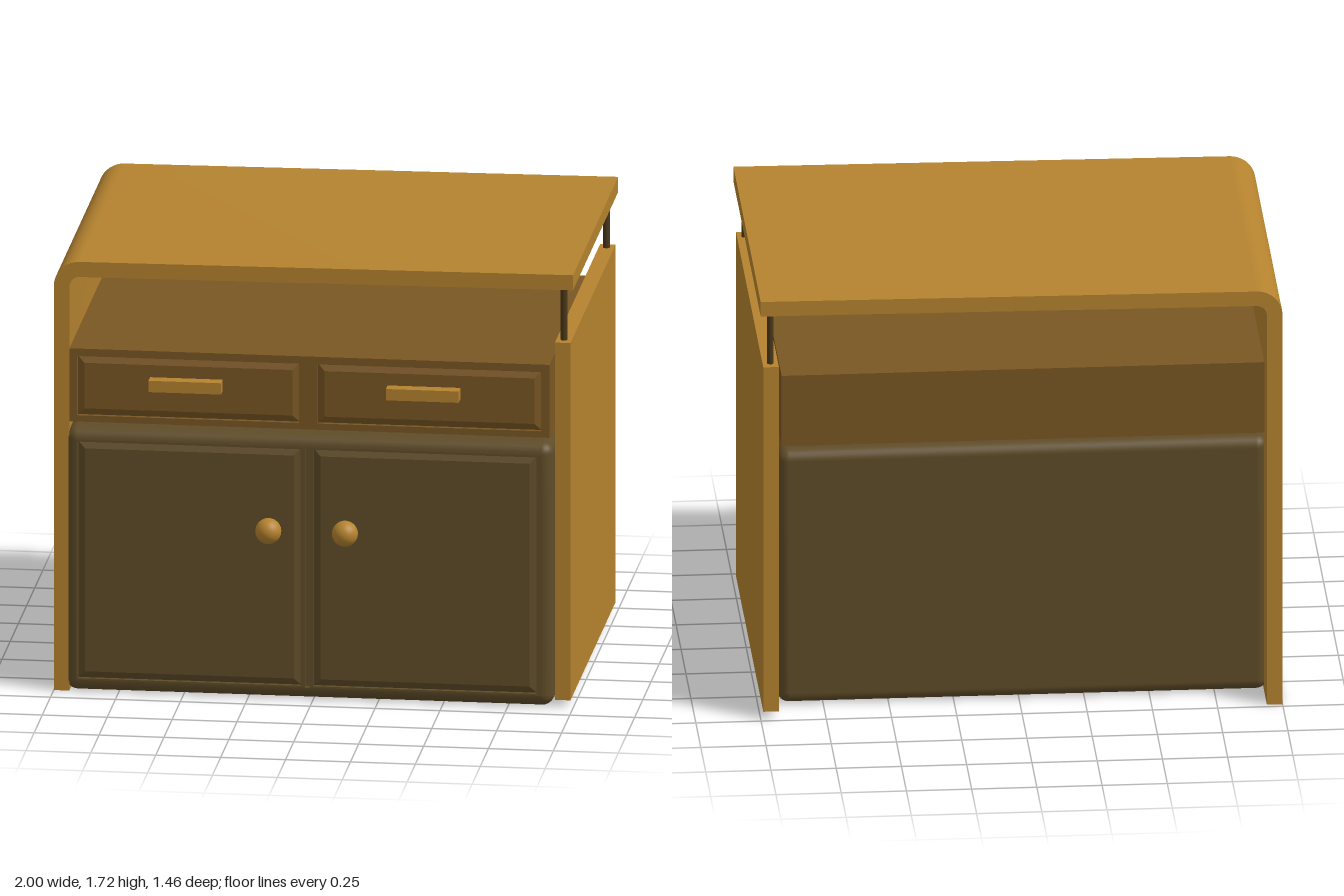
import * as THREE from 'three';
import { toCreasedNormals } from 'three/addons/utils/BufferGeometryUtils.js';

const mat = (color) => new THREE.MeshStandardMaterial({ color });
const wood = mat(0xb5832f), drawerWood = mat(0x7a5723), cabinetWood = mat(0x5f4c28), dark = mat(0x4a381a);

function add(parent, name, geometry, material, x = 0, y = 0, z = 0) {
  const mesh = new THREE.Mesh(geometry, material);
  mesh.name = name;
  mesh.position.set(x, y, z);
  parent.add(mesh);
  return mesh;
}

// Box given by its extents
function box(parent, name, material, x0, x1, y0, y1, z0, z1) {
  return add(parent, name, new THREE.BoxGeometry(x1 - x0, y1 - y0, z1 - z0), material,
    (x0 + x1) / 2, (y0 + y1) / 2, (z0 + z1) / 2);
}

function rect(x0, x1, y0, y1, Type = THREE.Shape) {
  return new Type([[x0, y0], [x1, y0], [x1, y1], [x0, y1]].map(p => new THREE.Vector2(...p)));
}

// Front frame with rectangular openings, front face at z
function frame(parent, name, material, outer, openings, z, depth) {
  const shape = rect(...outer);
  openings.forEach(o => shape.holes.push(rect(...o, THREE.Path)));
  add(parent, name, new THREE.ExtrudeGeometry(shape, { depth, bevelEnabled: false }), material, 0, 0, z - depth);
}

// Panel with chamfered border that fills an opening, front face at z
function raisedPanel(parent, name, material, [x0, x1, y0, y1], z) {
  const b = 0.027, t = 0.014;
  const geometry = new THREE.ExtrudeGeometry(rect(x0 + b, x1 - b, y0 + b, y1 - b),
    { depth: 0.005, bevelSize: b, bevelThickness: t, bevelSegments: 1 });
  add(parent, name, geometry, material, 0, 0, z - t - 0.005);
}

// Rounded body lofted from rounded rectangles; the front is left open for the frame
function roundedBody(x0, x1, y0, y1, z0, z1, r) {
  const steps = 6, rings = [], pos = [], index = [];
  for (let i = 0; i <= steps; i++) {
    const a = i / steps * Math.PI / 2;
    rings.push([z0 + r * (1 - Math.cos(a)), r * Math.sin(a)]);
  }
  for (let i = steps; i >= 0; i--) {
    const a = i / steps * Math.PI / 2;
    rings.push([z1 - r * (1 - Math.cos(a)), r * Math.sin(a)]);
  }
  const corners = [[x1 - r, y0 + r, -1], [x1 - r, y1 - r, 0], [x0 + r, y1 - r, 1], [x0 + r, y0 + r, 2]];
  for (const [z, radius] of rings)
    for (const [cx, cy, quarter] of corners)
      for (let k = 0; k <= steps; k++) {
        const a = (quarter + k / steps) * Math.PI / 2;
        pos.push(cx + radius * Math.cos(a), cy + radius * Math.sin(a), z);
      }
  const n = 4 * (steps + 1);
  for (let i = 0; i < rings.length - 1; i++)
    for (let j = 0; j < n; j++) {
      const a = i * n + j, b = i * n + (j + 1) % n;
      index.push(a, b, b + n, a, b + n, a + n);
    }
  pos.push((x0 + x1) / 2, (y0 + y1) / 2, z0);
  for (let j = 0; j < n; j++) index.push(rings.length * n, (j + 1) % n, j);
  const g = new THREE.BufferGeometry();
  g.setAttribute('position', new THREE.Float32BufferAttribute(pos, 3));
  g.setIndex(index);
  g.computeVertexNormals();
  return g;
}

export function createModel() {
  const model = new THREE.Group();
  model.name = 'sideboard';

  // Side and top in one bent board, the top rising slightly
  const s = new THREE.Shape();
  s.moveTo(-1, 0);
  s.lineTo(-0.94, 0);
  s.lineTo(-0.94, 1.605);
  s.absarc(-0.9, 1.605, 0.04, Math.PI, Math.PI / 2, true);
  s.lineTo(1, 1.66);
  s.lineTo(1, 1.72);
  s.lineTo(-0.9, 1.705);
  s.absarc(-0.9, 1.605, 0.1, Math.PI / 2, Math.PI, false);
  const board = new THREE.ExtrudeGeometry(s, { depth: 1.38, bevelEnabled: false, curveSegments: 12 });
  add(model, 'bentTopBoard', toCreasedNormals(board, 0.5), wood, 0, 0, -0.73);

  // Opposite side panel and the posts that carry the top
  box(model, 'sidePanel', wood, 0.93, 0.99, 0.03, 1.45, -0.73, 0.65);
  for (const z of [0.605, -0.688])
    add(model, 'post', new THREE.CylinderGeometry(0.013, 0.013, 0.22, 16), dark, 0.96, 1.555, z);

  // Lower cabinet with two doors
  const cabinet = new THREE.Group();
  cabinet.name = 'cabinet';
  model.add(cabinet);
  const front = 0.665, r = 0.045;
  add(cabinet, 'cabinetBody', roundedBody(-0.955, 0.925, 0.003, 1.048, -0.6, front, r), cabinetWood);
  const doors = [[-0.906, -0.047, 0.055, 0.995], [0.002, 0.861, 0.055, 0.995]];
  const gap = [-0.031, -0.014, 0.05, 1.0];
  frame(cabinet, 'doorFrame', cabinetWood, [-0.955 + r, 0.925 - r, 0.003 + r, 1.048 - r], [...doors, gap], front, 0.03);
  box(cabinet, 'doorBacking', cabinetWood, -0.91, 0.88, 0.048, 1.003, front - 0.06, front - 0.02);
  doors.forEach(d => raisedPanel(cabinet, 'doorPanel', cabinetWood, d, front - 0.004));
  for (const x of [-0.17, 0.125])
    add(cabinet, 'doorKnob', new THREE.SphereGeometry(0.05, 32, 20), wood, x, 0.67, 0.68);

  // Drawer unit
  const drawers = new THREE.Group();
  drawers.name = 'drawerUnit';
  model.add(drawers);
  const openings = [[-0.91, -0.055, 1.095, 1.33], [0.015, 0.877, 1.095, 1.33]];
  box(drawers, 'drawerBody', drawerWood, -0.945, 0.91, 1.07, 1.36, -0.6, 0.625);
  frame(drawers, 'drawerFrame', drawerWood, [-0.945, 0.91, 1.07, 1.36], openings, 0.648, 0.023);
  openings.forEach(o => raisedPanel(drawers, 'drawerPanel', drawerWood, o, 0.644));
  for (const x of [-0.49, 0.425])
    box(drawers, 'drawerHandle', wood, x - 0.14, x + 0.14, 1.21, 1.255, 0.63, 0.695);

  return model;
}
